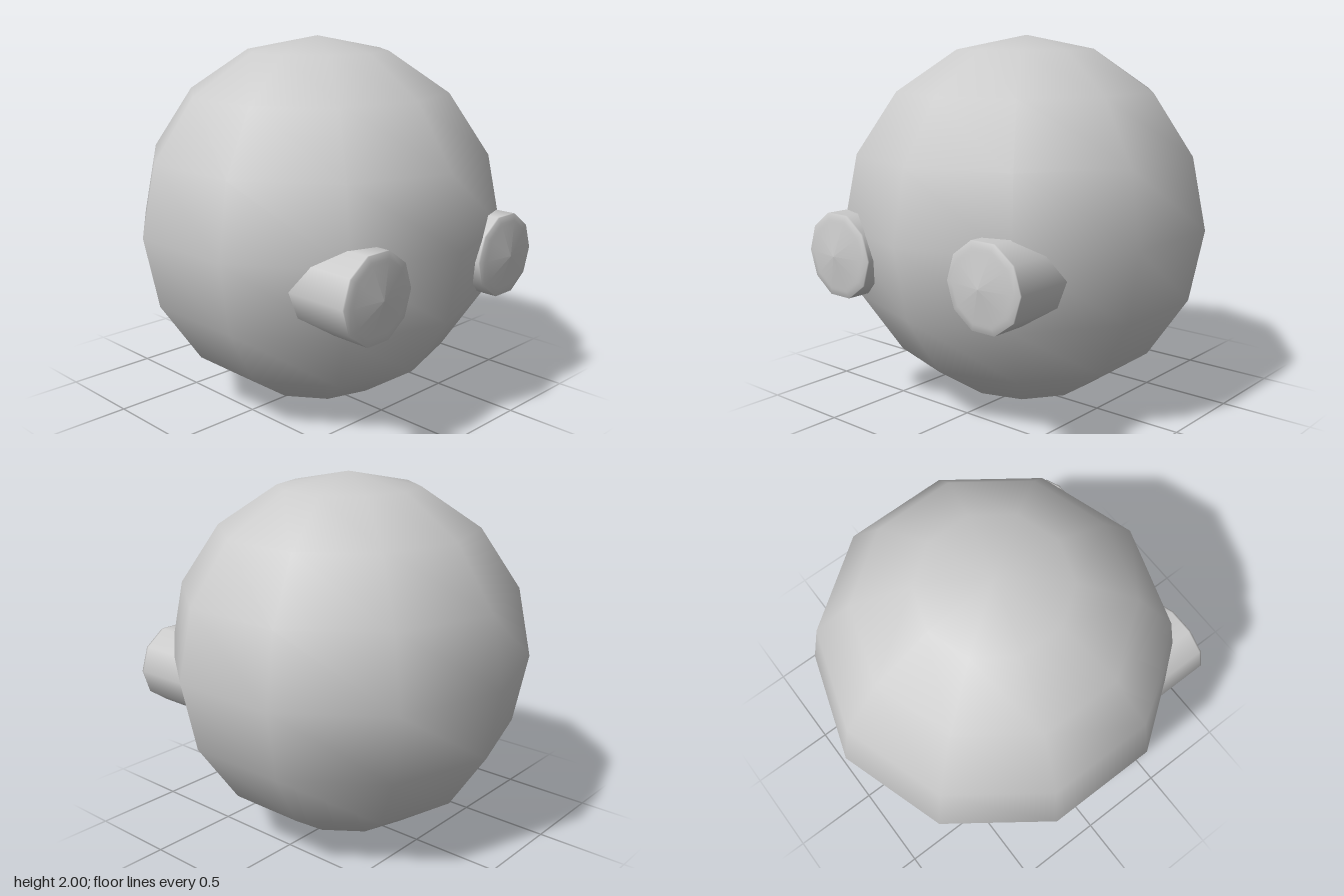
import * as THREE from 'three';

const material = new THREE.MeshStandardMaterial({ color: 0xcccccc });

// Ten-sided stub facing +z: straight barrel, narrow rounded rim, shallow cone cap
function makeEye(name, x, radius, rimZ) {
  const profile = [
    [radius, 0.4],
    [radius, rimZ - 0.01],
    [radius, rimZ],
    [radius - 0.035, rimZ + 0.006],
    [radius - 0.05, rimZ + 0.009],
    [0, rimZ + 0.035],
  ].map(([r, z]) => new THREE.Vector2(r, z));
  const geometry = new THREE.LatheGeometry(profile, 10, Math.PI / 2);
  geometry.rotateX(Math.PI / 2);
  const eye = new THREE.Mesh(geometry, material);
  eye.name = name;
  eye.position.set(x, 0.87, 0);
  return eye;
}

export function createModel() {
  const model = new THREE.Group();
  model.name = 'roundHead';

  // Low-poly smooth ball with a vertex column at the front and the back
  const ball = new THREE.SphereGeometry(1, 10, 8);
  ball.rotateY(Math.PI / 2);
  const head = new THREE.Mesh(ball, material);
  head.name = 'head';
  head.position.y = 1;
  model.add(head);

  // Protruding eyes, the right one very slightly larger
  model.add(makeEye('leftEye', 0.5, 0.226, 0.915));
  model.add(makeEye('rightEye', -0.51, 0.23, 0.92));

  return model;
}
